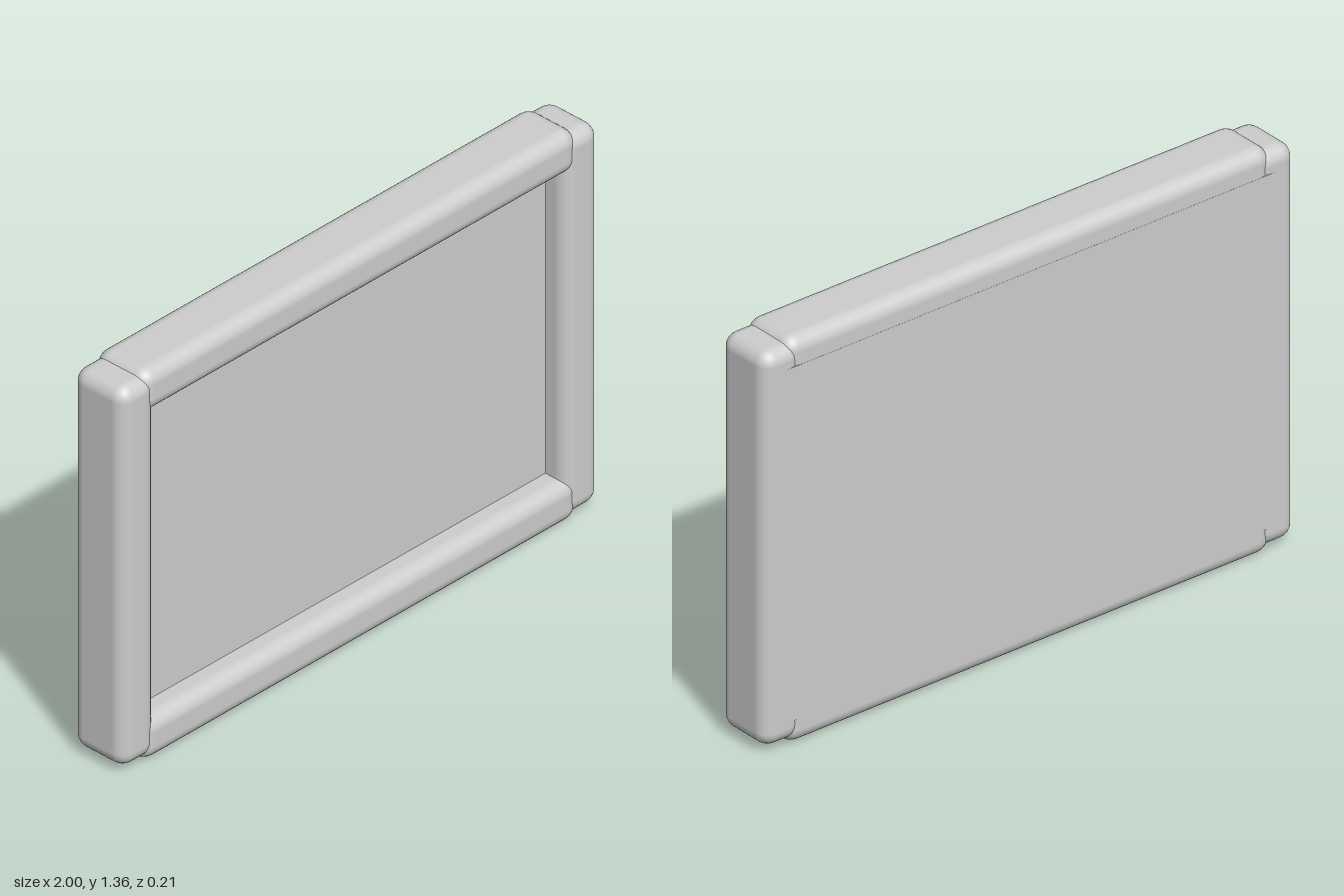
import * as THREE from 'three';
import { RoundedBoxGeometry } from 'three/addons/geometries/RoundedBoxGeometry.js';

export function createModel() {
  const model = new THREE.Group();
  model.name = 'framedPanel';

  const grey = new THREE.MeshStandardMaterial({ color: 0xcccccc });
  grey.name = 'grey';

  const height = 1.355, bar = 0.145, depth = 0.21, radius = 0.048;
  const midY = height / 2;

  function add(name, geometry, x, y, z) {
    const mesh = new THREE.Mesh(geometry, grey);
    mesh.name = name;
    mesh.position.set(x, y, z);
    model.add(mesh);
  }

  // Upright bars, slightly shorter than the whole frame
  const upright = new RoundedBoxGeometry(bar, 1.318, depth, 3, radius);
  for (const [name, side] of [['leftBar', 1], ['rightBar', -1]]) {
    add(name, upright, side * (1 - bar / 2), midY, 0);
  }

  // Horizontal bars, with ends sunk into the uprights
  const rail = new RoundedBoxGeometry(1.825, bar, depth, 3, radius);
  for (const [name, side] of [['topBar', 1], ['bottomBar', -1]]) {
    add(name, rail, 0, midY + side * (midY - bar / 2), 0);
  }

  // Panel: recessed at the front, flush with the bars at the back
  const front = 0.02, back = -0.1055;
  add('panel', new THREE.BoxGeometry(1.83, 1.18, front - back), 0, midY, (front + back) / 2);

  return model;
}
